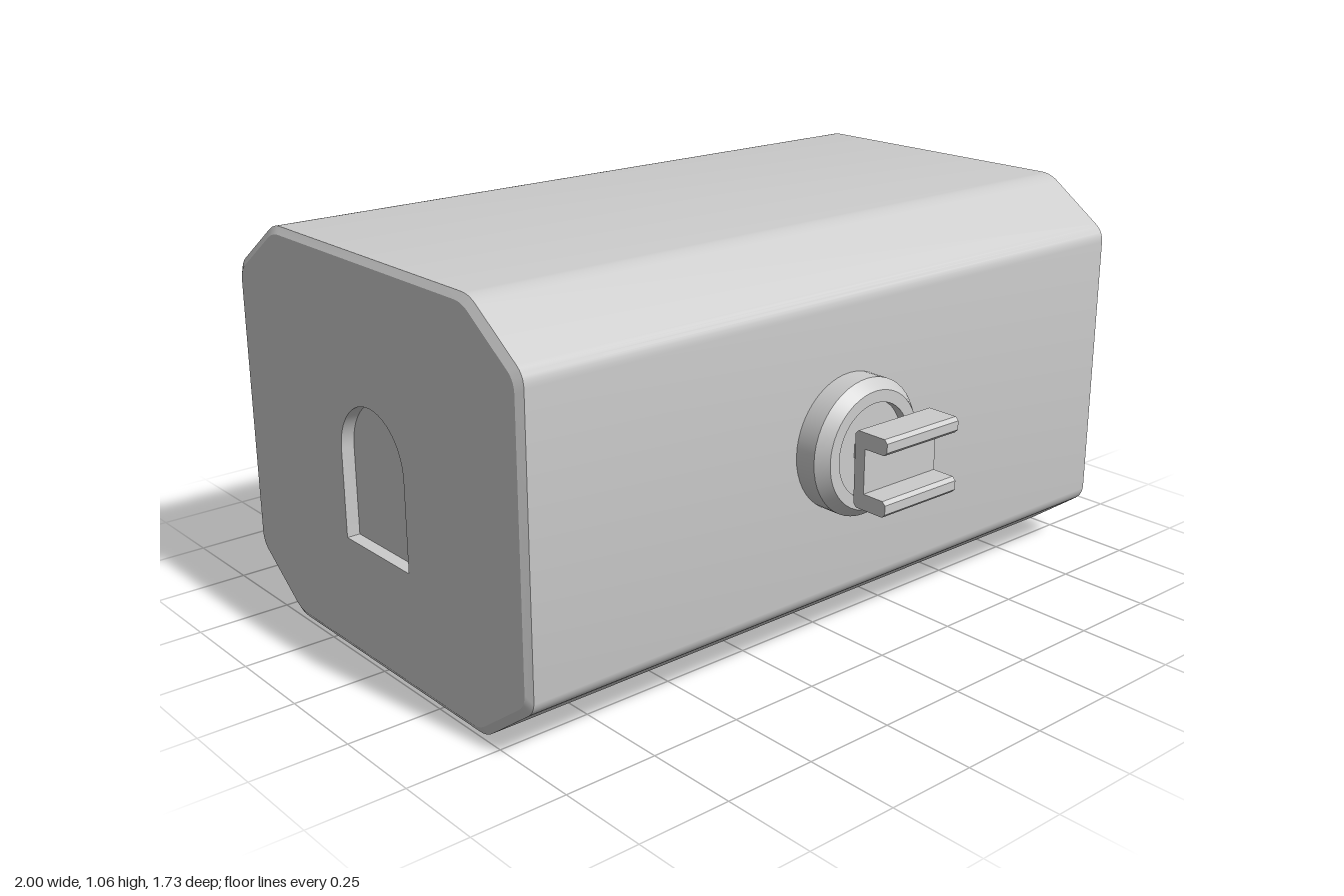
import * as THREE from 'three';
import { toCreasedNormals } from 'three/addons/utils/BufferGeometryUtils.js';

const material = new THREE.MeshStandardMaterial({ color: 0xcccccc });
const MID_Y = 0.53;

function part(name, geometry) {
  const mesh = new THREE.Mesh(geometry, material);
  mesh.name = name;
  return mesh;
}

// Chamfered outline with softened corners, centred on the origin, shrunk by inset
function bodyOutline(inset = 0) {
  const sx = 1 - inset / 0.622, sy = 1 - inset / MID_Y;
  const corners = [
    [0.43, -0.53], [0.622, -0.39], [0.622, 0.395], [0.43, 0.53],
    [-0.43, 0.53], [-0.622, 0.395], [-0.622, -0.39], [-0.43, -0.53],
  ].map(([x, y]) => new THREE.Vector2(x * sx, y * sy));
  const toward = (a, b) => a.clone().lerp(b, 0.03 / a.distanceTo(b));
  const shape = new THREE.Shape();
  corners.forEach((c, i) => {
    const start = toward(c, corners[(i + 7) % 8]);
    const end = toward(c, corners[(i + 1) % 8]);
    if (i === 0) shape.moveTo(start.x, start.y);
    else shape.lineTo(start.x, start.y);
    shape.quadraticCurveTo(c.x, c.y, end.x, end.y);
  });
  shape.closePath();
  return shape;
}

// Arched doorway outline for the end recesses
function archOutline() {
  const r = 0.142, sill = 0.315 - MID_Y, spring = 0.55 - MID_Y;
  const shape = new THREE.Shape();
  shape.moveTo(-r, sill);
  shape.lineTo(r, sill);
  shape.lineTo(r, spring);
  shape.absarc(0, spring, r, 0, Math.PI, false);
  shape.closePath();
  return shape;
}

// Skin joining the same closed outline at several depths: [shape, z]
function loft(sections, segments) {
  const positions = [], indices = [];
  let n = 0;
  for (const [shape, z] of sections) {
    const points = shape.getPoints(segments);
    if (points[0].distanceTo(points[points.length - 1]) < 1e-6) points.pop();
    n = points.length;
    points.forEach((p) => positions.push(p.x, p.y, z));
  }
  for (let i = 0; i < sections.length - 1; i++) {
    for (let j = 0; j < n; j++) {
      const k = (j + 1) % n;
      const a = i * n + j, b = i * n + k, c = b + n, d = a + n;
      indices.push(a, b, c, a, c, d);
    }
  }
  const geometry = new THREE.BufferGeometry();
  geometry.setAttribute('position', new THREE.Float32BufferAttribute(positions, 3));
  geometry.setIndex(indices);
  return toCreasedNormals(geometry, 0.5);
}

// End face with a shallow arched recess
function makeEnd(name) {
  const end = new THREE.Group();
  end.name = name;
  const face = bodyOutline(0.018);
  face.holes.push(archOutline());
  const depth = 0.035;
  const floor = part('recessFloor', new THREE.ShapeGeometry(archOutline(), 16));
  floor.position.z = 1 - depth;
  const cap = part('endFace', new THREE.ShapeGeometry(face, 16));
  cap.position.z = 1;
  end.add(cap, floor,
    part('recessWall', loft([[archOutline(), 1], [archOutline(), 1 - depth]], 16)));
  return end;
}

// Side fitting: chamfered dished disc, stem and C-shaped clip, pointing along +z
function makeFitting(name) {
  const fitting = new THREE.Group();
  fitting.name = name;

  const profile = [
    [0.178, 0.6], [0.178, 0.682], [0.153, 0.712], [0.122, 0.712], [0.122, 0.685], [0, 0.685],
  ].map(([r, y]) => new THREE.Vector2(r, y));
  const disc = new THREE.LatheGeometry(profile, 48).rotateX(Math.PI / 2);
  fitting.add(part('disc', toCreasedNormals(disc, 0.5)));

  const stem = new THREE.CylinderGeometry(0.046, 0.046, 0.1, 8).rotateY(Math.PI / 8).rotateX(Math.PI / 2);
  const stemMesh = part('stem', toCreasedNormals(stem, 0.5));
  stemMesh.position.z = 0.725;
  fitting.add(stemMesh);

  // Clip profile in depth and height, with small chamfers on its outer corners
  const back = 0.765, inner = 0.797, tip = 0.867, h = 0.098, slot = 0.057, c = 0.009;
  const upper = [
    [inner, slot], [tip - c, slot], [tip, slot + c], [tip, h - c], [tip - c, h], [back + c, h], [back, h - c],
  ];
  const lower = upper.map(([z, y]) => [z, -y]).reverse();
  const outline = new THREE.Shape([...upper, ...lower].map(([z, y]) => new THREE.Vector2(z, y)));
  const clip = new THREE.ExtrudeGeometry(outline, { depth: 0.25, bevelEnabled: false });
  clip.translate(0, 0, -0.125).rotateY(-Math.PI / 2);
  fitting.add(part('clip', clip));

  fitting.position.set(-0.015, 0.548, 0);
  return fitting;
}

export function createModel() {
  const model = new THREE.Group();
  model.name = 'model';

  // Body runs along local z and is turned to lie along x
  const body = new THREE.Group();
  body.name = 'body';
  const rim = bodyOutline(0.018), full = bodyOutline();
  body.add(part('bodyShell', loft([[rim, -1], [full, -0.988], [full, 0.98], [rim, 1]], 6)));
  const leftEnd = makeEnd('leftEnd');
  const rightEnd = makeEnd('rightEnd');
  rightEnd.rotation.y = Math.PI;
  body.add(leftEnd, rightEnd);
  body.rotation.y = Math.PI / 2;
  body.position.y = MID_Y;
  model.add(body);

  // Matching fittings on the front and back
  const frontFitting = makeFitting('frontFitting');
  const backFitting = makeFitting('backFitting');
  backFitting.rotation.y = Math.PI;
  model.add(frontFitting, backFitting);

  return model;
}
